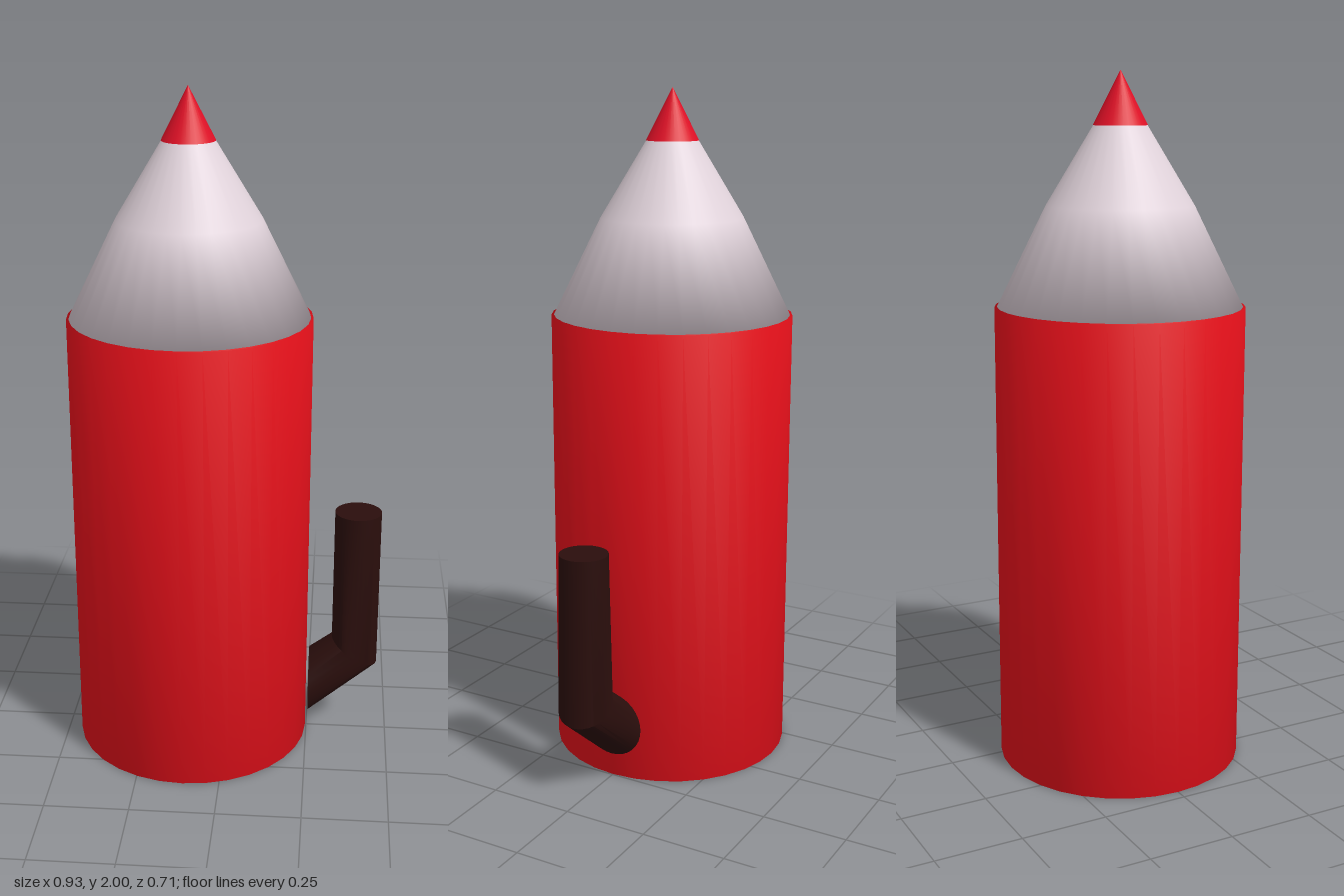
import * as THREE from 'three';
import { toCreasedNormals } from 'three/addons/utils/BufferGeometryUtils.js';

const SIDES = 32;
const AXIS_X = -0.11;

// Turned part: profile of [radius, height], smooth across its edges
function turned(name, profile, color) {
  const geometry = new THREE.LatheGeometry(profile.map(([r, y]) => new THREE.Vector2(r, y)), SIDES);
  const mesh = new THREE.Mesh(geometry, new THREE.MeshStandardMaterial({ color }));
  mesh.name = name;
  mesh.position.x = AXIS_X;
  return mesh;
}

// Closed tube through rings; each ring has a centre and an in-plane half axis (ux, uy), and depth rz
function ringTube(rings) {
  const positions = [], index = [];
  for (const { x, y, ux, uy, rz } of rings) {
    for (let i = 0; i < SIDES; i++) {
      const a = (i / SIDES) * Math.PI * 2;
      positions.push(x + ux * Math.cos(a), y + uy * Math.cos(a), rz * Math.sin(a));
    }
  }
  for (let k = 0; k < rings.length - 1; k++) {
    for (let i = 0; i < SIDES; i++) {
      const j = (i + 1) % SIDES;
      const a = k * SIDES + i, b = k * SIDES + j;
      index.push(a, a + SIDES, b, b, a + SIDES, b + SIDES);
    }
  }
  // End caps
  const last = rings.length - 1;
  const start = positions.length / 3, end = start + 1;
  positions.push(rings[0].x, rings[0].y, 0, rings[last].x, rings[last].y, 0);
  for (let i = 0; i < SIDES; i++) {
    const j = (i + 1) % SIDES;
    index.push(start, i, j, end, last * SIDES + j, last * SIDES + i);
  }
  const geometry = new THREE.BufferGeometry();
  geometry.setAttribute('position', new THREE.Float32BufferAttribute(positions, 3));
  geometry.setIndex(index);
  return toCreasedNormals(geometry, 0.6);
}

export function createModel() {
  const model = new THREE.Group();
  model.name = 'pencilShapedPot';

  // Solid cylindrical body
  model.add(turned('body', [[0, 0], [0.357, 0], [0.357, 1.346], [0, 1.346]], 0xe5101a));

  // Pale two-slope cone and its coloured point
  model.add(turned('cone', [[0, 1.347], [0.35, 1.347], [0.21, 1.63], [0.076, 1.85]], 0xe2d4dc));
  model.add(turned('tip', [[0.077, 1.85], [0, 2]], 0xe01026));

  // Bent spout: wide end at the body, mitred elbow, upright outlet
  const spout = new THREE.Mesh(
    ringTube([
      { x: 0.255, y: 0.17, ux: 0, uy: -0.098, rz: 0.1 },
      { x: 0.395, y: 0.284, ux: 0.07, uy: -0.04, rz: 0.081 },
      { x: 0.395, y: 0.746, ux: 0.07, uy: 0, rz: 0.07 },
    ]),
    new THREE.MeshStandardMaterial({ color: 0x2a0e0c })
  );
  spout.name = 'spout';
  model.add(spout);

  return model;
}
